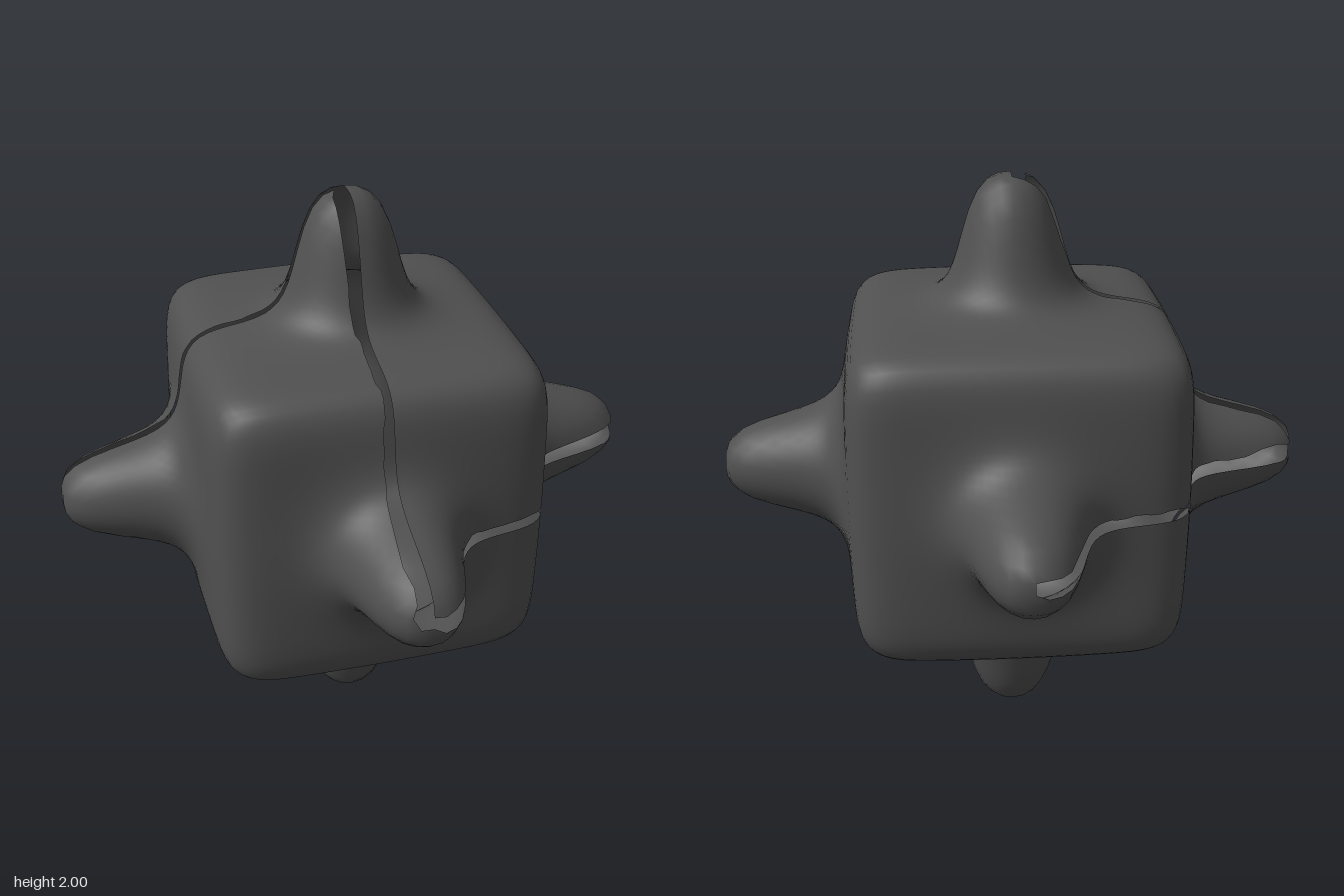
import * as THREE from 'three';

const H = 20;        // grid cells from a face centre to its edge
const X = 0, Y = 1, Z = 2;

// Open seams: each lies in the plane n = 0, between the spikes a and b.
// low / high move its two edges (in grid cells), jag roughens the second one.
const seams = [
  { n: X, side: -1, a: [Y, 1], b: [Z, 1], low: 0, high: 1.0, jag: 0.8 },
  { n: Y, side: 1, a: [X, 1], b: [Z, 1], low: -0.65, high: 0.75, jag: 0.5 },
  { n: Y, side: 1, a: [X, -1], b: [Z, -1], low: -0.4, high: 0.9, jag: 0.6 },
  { n: Z, side: -1, a: [X, -1], b: [Y, 1], low: 0.2, high: 1.1, jag: 0.7 },
  { n: Z, side: -1, a: [X, -1], b: [Y, -1], low: 0.2, high: 1.1, jag: 0.7 },
];

const hash = (i, seed) => {
  const s = Math.sin(i * 12.9898 + seed * 78.233) * 43758.5453;
  return s - Math.floor(s);
};

const between = (p, s) => p[s.a[0]] * s.a[1] > 0 && p[s.b[0]] * s.b[1] > 0;

// Distance from the centre: rounded cube with a smooth spike on each axis
function radius(d) {
  const c = d.toArray().map(Math.abs);
  const cube = 0.55 / Math.pow(c.reduce((sum, v) => sum + v ** 8.3, 0), 1 / 8.3);
  let swell = 1;
  for (const v of c) {
    const angle = THREE.MathUtils.radToDeg(Math.acos(Math.min(1, v)));
    swell += 0.815 / (1 + (angle / 12.5) ** 3.2);
  }
  return cube * swell;
}

// Surface point for a point of the cube grid
function surfacePoint(grid) {
  const p = [...grid];
  seams.forEach((s, k) => {
    if (!between(grid, s)) return;
    const along = Math.abs(grid[s.a[0]]) - Math.abs(grid[s.b[0]]);
    const at = grid[s.n] * s.side;
    if (at === 0) p[s.n] = s.side * s.low;
    if (at === 1) p[s.n] = s.side * (s.high + s.jag * hash(Math.floor(along / 2), k + 1));
  });
  const d = new THREE.Vector3(...p.map(v => Math.tan(v / H * Math.PI / 4))).normalize();
  return d.multiplyScalar(radius(d));
}

function shellGeometry() {
  const positions = [], index = [], known = new Map();
  const vertex = (grid) => {
    const key = grid.join();
    if (!known.has(key)) {
      known.set(key, positions.length / 3);
      positions.push(...surfacePoint(grid).toArray());
    }
    return known.get(key);
  };

  for (let axis = 0; axis < 3; axis++) for (const sign of [1, -1]) {
    const at = (i, j) => {
      const p = [0, 0, 0];
      p[axis] = sign * H;
      p[(axis + 1) % 3] = i;
      p[(axis + 2) % 3] = j;
      return p;
    };
    for (let i = -H; i < H; i++) for (let j = -H; j < H; j++) {
      // leave out the cells along the open seams
      const mid = at(i + 0.5, j + 0.5);
      if (seams.some(s => mid[s.n] * s.side === 0.5 && between(mid, s))) continue;
      const a = vertex(at(i, j)), b = vertex(at(i + 1, j));
      const c = vertex(at(i + 1, j + 1)), d = vertex(at(i, j + 1));
      if (sign > 0) index.push(a, b, c, a, c, d);
      else index.push(a, c, b, a, d, c);
    }
  }

  const geometry = new THREE.BufferGeometry();
  geometry.setAttribute('position', new THREE.Float32BufferAttribute(positions, 3));
  geometry.setIndex(index);
  geometry.computeVertexNormals();
  return geometry;
}

export function createModel() {
  const group = new THREE.Group();
  group.name = 'spikedCube';
  const material = new THREE.MeshStandardMaterial({ color: 0x505050, side: THREE.DoubleSide });
  const shell = new THREE.Mesh(shellGeometry(), material);
  shell.name = 'shell';
  shell.position.y = 1;
  group.add(shell);
  return group;
}
